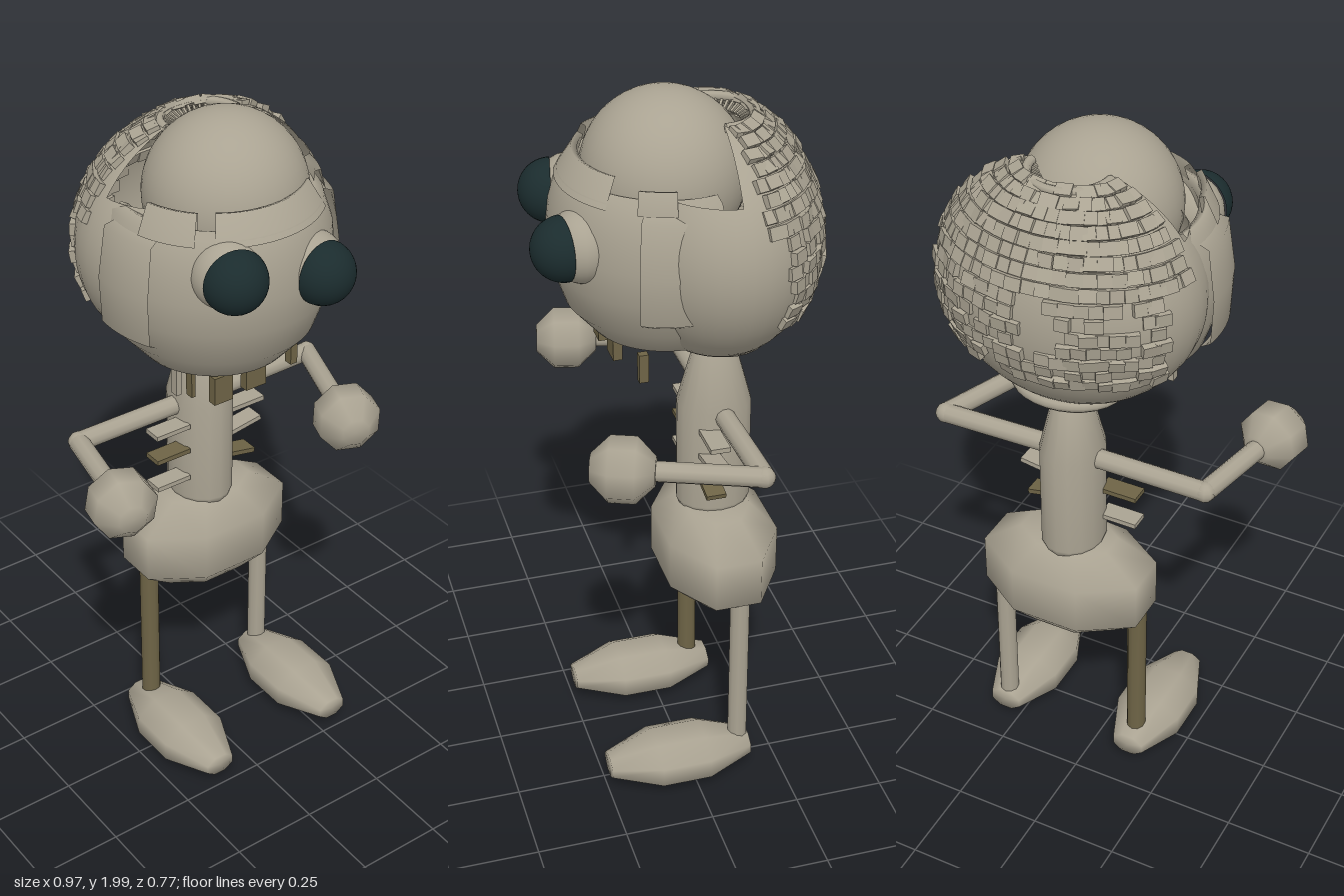
import * as THREE from 'three';
import { mergeGeometries } from 'three/addons/utils/BufferGeometryUtils.js';

const bone = new THREE.MeshStandardMaterial({ name: 'bone', color: 0xaaa392, side: THREE.DoubleSide });
const brown = new THREE.MeshStandardMaterial({ name: 'brown', color: 0x6e6446 });
const dark = new THREE.MeshStandardMaterial({ name: 'dark lens', color: 0x1b2c2e });

const V = (x, y, z) => new THREE.Vector3(x, y, z);
const UP = V(0, 1, 0);

let seed = 7;
const rand = () => (seed = (seed * 16807) % 2147483647) / 2147483647;

export function createModel() {
  const model = new THREE.Group();
  model.name = 'boneFigure';

  const add = (name, geo, mat, x = 0, y = 0, z = 0, parent = model) => {
    const m = new THREE.Mesh(geo, mat);
    m.name = name;
    m.position.set(x, y, z);
    parent.add(m);
    return m;
  };
  const lathe = (pts, seg, start = 0, len = Math.PI * 2) =>
    new THREE.LatheGeometry(pts.map(p => new THREE.Vector2(...p)), seg, start, len);
  const rod = (name, a, b, r, mat = bone) => {
    const m = add(name, new THREE.CylinderGeometry(r, r, a.distanceTo(b), 10), mat);
    m.position.copy(a).lerp(b, 0.5);
    m.quaternion.setFromUnitVectors(UP, b.clone().sub(a).normalize());
    return m;
  };

  // Torso tapering into the neck
  add('torso', lathe([[0, 0.77], [0.08, 0.775], [0.088, 0.8], [0.088, 1.1], [0.044, 1.29], [0, 1.3]], 16),
    bone, 0.06, 0, -0.125).scale.z = 1.18;

  // Pelvis: wide chamfered octagon
  const pelvis = lathe([[0, -0.14], [0.155, -0.14], [0.25, -0.07], [0.25, 0.07], [0.14, 0.14], [0, 0.14]], 8);
  pelvis.rotateY(Math.PI / 8);
  pelvis.scale(1.04, 1, 0.67);
  add('pelvis', pelvis, bone, 0.075, 0.65, -0.125);

  // Short ribs poking out of the front sides
  for (const [x, y, tilt, mat] of [[-0.07, 1.045, 0, bone], [0.185, 1.045, 0, bone], [-0.07, 0.965, 0, brown],
    [0.175, 0.975, 0.15, bone], [-0.07, 0.875, 0, bone], [0.155, 0.89, -0.2, brown]]) {
    add('rib', new THREE.BoxGeometry(0.11, 0.014, 0.055), mat, x, y, -0.09).rotation.z = tilt;
  }

  // Legs and feet
  const footGeo = lathe([[0, -0.205], [0.032, -0.205], [0.068, -0.07], [0.068, 0.07], [0.03, 0.205], [0, 0.205]], 8);
  footGeo.rotateY(Math.PI / 8);
  footGeo.rotateX(Math.PI / 2);
  footGeo.scale(1.58, 1.1, 1);
  for (const [side, x, z, mat] of [['right', -0.13, -0.11, brown], ['left', 0.285, -0.138, bone]]) {
    rod(side + 'Leg', V(x, 0.07, z), V(x, 0.64, z), 0.028, mat);
    add(side + 'Foot', footGeo, bone, x, 0.076, 0.038);
  }

  // Arms bent forward, ending in faceted fists
  const fistGeo = lathe([[0, -0.085], [0.04, -0.085], [0.09, -0.035], [0.09, 0.035], [0.04, 0.085], [0, 0.085]], 8);
  for (const [side, elbow, hand] of [['right', V(-0.335, 1.085, -0.13), V(-0.4, 1.09, 0.175)],
    ['left', V(0.45, 1.085, -0.14), V(0.322, 1.09, 0.2)]]) {
    rod(side + 'UpperArm', V(0.06, 1.085, -0.13), elbow, 0.028);
    rod(side + 'Forearm', elbow, hand, 0.028);
    add(side + 'Elbow', new THREE.SphereGeometry(0.029, 10, 8), bone, elbow.x, elbow.y, elbow.z);
    const fist = add(side + 'Fist', fistGeo, bone, hand.x, hand.y, hand.z);
    fist.quaternion.setFromUnitVectors(UP, hand.clone().sub(elbow).normalize());
  }

  const head = new THREE.Group();
  head.name = 'head';
  model.add(head);

  // Cranium: full lower bowl, upper part only at the back with a hole on top
  const C = V(0.06, 1.62, -0.11), R = V(0.36, 0.335, 0.27);
  for (const [name, p0, pl, t0, tl] of [['craniumBowl', 0, Math.PI * 2, 1.0, Math.PI - 1.0],
    ['craniumBack', Math.PI * 0.98, Math.PI * 1.04, 0.33, 0.7]]) {
    add(name, new THREE.SphereGeometry(1, 40, 24, p0, pl, t0, tl), bone, C.x, C.y, C.z, head).scale.copy(R);
  }

  // Loose scale-like tiles over the back of the cranium
  const tiles = [], o = new THREE.Object3D();
  for (let row = 0; row < 15; row++) {
    const theta = 0.4 + row * 0.115;
    const count = Math.round(9 + 17 * Math.sin(theta));
    for (let i = 0; i < count; i++) {
      const f = (i + 0.5 + (row % 2) * 0.4) / count;
      const phi = Math.PI * (1.05 + 0.9 * Math.min(f, 1));
      if (row > 7 && (rand() < 0.25 || f < 0.08 || f > 0.9)) continue;
      const n = V(-Math.cos(phi) * Math.sin(theta), Math.cos(theta), Math.sin(phi) * Math.sin(theta));
      o.position.copy(n).multiply(R).add(C);
      o.lookAt(o.position.clone().add(n.clone().divide(R)));
      o.rotateX((rand() - 0.5) * 0.3);
      o.rotateY((rand() - 0.5) * 0.3);
      o.translateZ(rand() * 0.009 - 0.003);
      o.updateMatrix();
      tiles.push(new THREE.BoxGeometry(0.036 + rand() * 0.012, 0.034, 0.018).applyMatrix4(o.matrix));
    }
  }
  add('craniumTiles', mergeGeometries(tiles), bone, 0, 0, 0, head);

  // Pleated rim behind the dome
  const rim = add('craniumRim', new THREE.TorusGeometry(0.11, 0.013, 8, 24, Math.PI), bone, 0.06, 1.93, -0.11, head);
  rim.rotation.x = -Math.PI / 2;
  const pleats = [];
  for (let i = 0; i < 20; i++) {
    const a = Math.PI * (i + 0.5) / 20;
    const g = new THREE.BoxGeometry(0.04, 0.008, 0.007);
    g.rotateZ(0.5).translate(0.09, -0.008, 0).rotateY(a);
    pleats.push(g);
  }
  add('rimPleats', mergeGeometries(pleats), bone, 0.06, 1.925, -0.11, head);

  // Smooth dome, skull base
  add('brainDome', new THREE.SphereGeometry(0.215, 40, 28), bone, 0.045, 1.785, 0.012, head);
  add('skullBase', new THREE.SphereGeometry(1, 28, 14), bone, 0.06, 1.325, -0.14, head).scale.set(0.16, 0.045, 0.13);

  // Face shell: open at the top, with a thick rim
  add('faceShell', lathe([[0, 1.315], [0.13, 1.32], [0.2, 1.355], [0.265, 1.43], [0.3, 1.53], [0.31, 1.62], [0.3, 1.71],
    [0.275, 1.785], [0.25, 1.8], [0.23, 1.79], [0.25, 1.7]], 40, -Math.PI * 0.58, Math.PI * 1.16), bone, 0.02, 0, 0, head);
  // Raised brow, small corner flaps and side panels follow the face curve
  const panel = (name, a0, a1, pts) =>
    add(name, lathe(pts, 14, a0, a1 - a0), bone, 0.02, 0, 0, head);
  panel('browBand', -0.62, 0.75, [[0.284, 1.77], [0.238, 1.842], [0.222, 1.836], [0.24, 1.78]]);
  panel('browFlap', -1.35, -0.8, [[0.285, 1.77], [0.25, 1.845], [0.235, 1.84], [0.25, 1.77]]);
  panel('browFlap', 1.05, 1.4, [[0.285, 1.77], [0.27, 1.83], [0.255, 1.825], [0.25, 1.77]]);
  const side = [[0.29, 1.47], [0.322, 1.49], [0.328, 1.62], [0.308, 1.76], [0.26, 1.775]];
  panel('sidePanel', 1.1, 1.72, side);
  panel('sidePanel', -1.72, -1.15, side);

  // Bulging eyes with dark lenses
  for (const [name, x, y, z, yaw] of [['rightEye', -0.11, 1.69, 0.245, -0.2], ['leftEye', 0.135, 1.645, 0.272, 0.13]]) {
    const eye = new THREE.Group();
    eye.name = name;
    eye.position.set(x, y, z);
    eye.rotation.y = yaw;
    head.add(eye);
    add(name + 'Ball', new THREE.SphereGeometry(0.096, 28, 20), bone, 0, 0, -0.02, eye).scale.z = 0.85;
    const cap = new THREE.SphereGeometry(0.085, 28, 14, 0, Math.PI * 2, 0, Math.PI / 2);
    add(name + 'Lens', cap.rotateX(Math.PI / 2), dark, 0, 0, 0.025, eye);
  }

  // Sparse teeth under the jaw
  for (const [x, w, z, mat] of [[-0.145, 0.016, 0.06, bone], [-0.07, 0.058, 0.155, brown], [0.042, 0.064, 0.145, brown],
    [0.195, 0.022, 0.11, brown], [-0.12, 0.012, 0.09, brown]]) {
    add('tooth', new THREE.BoxGeometry(w, 0.08, 0.025), mat, x, 1.308, z, head);
  }

  return model;
}
